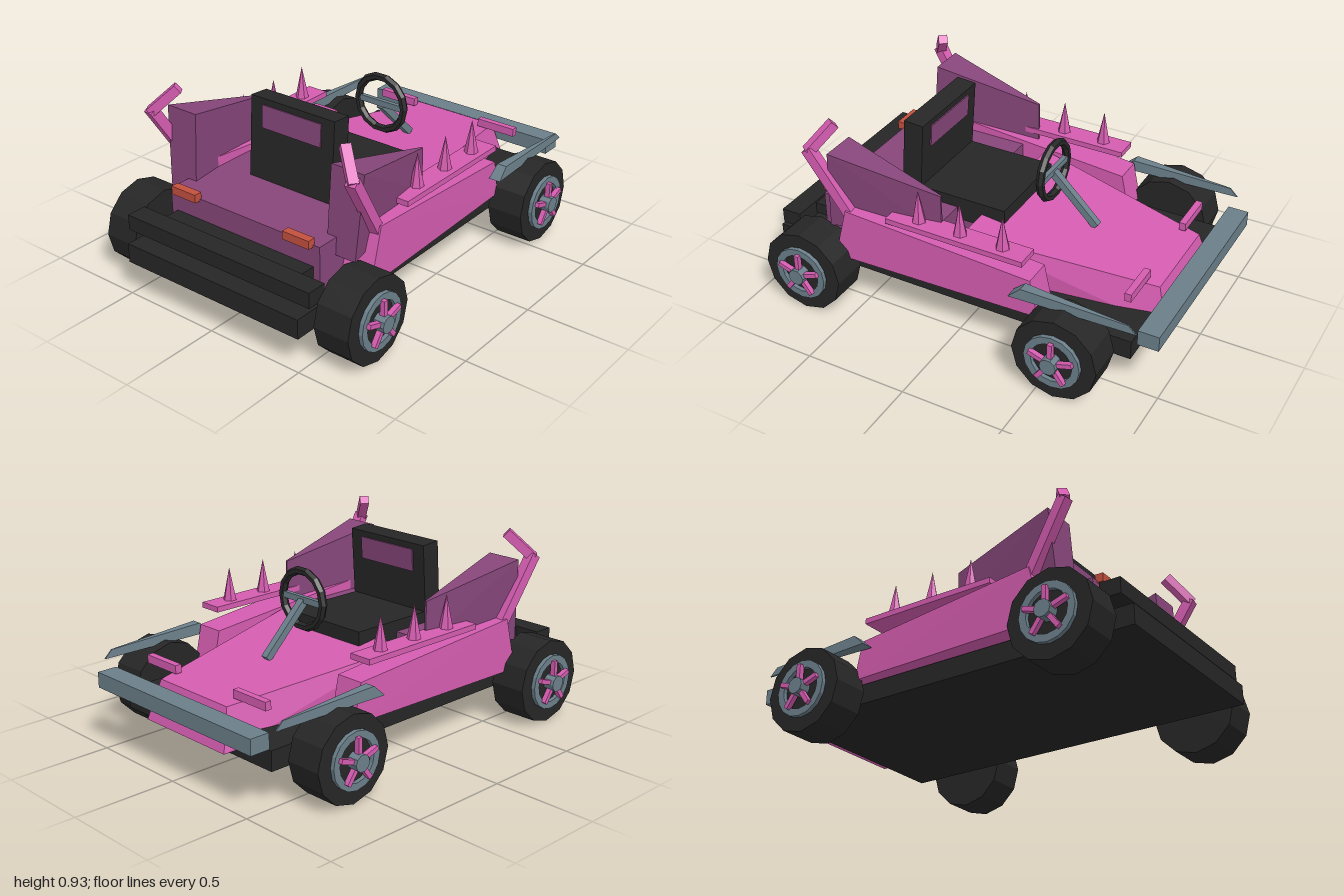
import * as THREE from 'three';
import { ConvexGeometry } from 'three/addons/geometries/ConvexGeometry.js';

const mat = (name, color) => {
  const m = new THREE.MeshStandardMaterial({ color, flatShading: true });
  m.name = name;
  return m;
};

export function createModel() {
  const kart = new THREE.Group();
  kart.name = 'kart';
  const pink = mat('pink paint', 0xd45cb0);
  const purple = mat('purple paint', 0x86467a);
  const black = mat('black rubber', 0x262626);
  const steel = mat('steel grey', 0x6b7f8a);
  const orange = mat('orange light', 0xc2503e);

  const add = (name, geo, material, parent = kart) => {
    const m = new THREE.Mesh(geo, material);
    m.name = name;
    parent.add(m);
    return m;
  };
  // Box given by its lowest and highest corner
  const box = (name, material, [x0, y0, z0], [x1, y1, z1], parent) => {
    const m = add(name, new THREE.BoxGeometry(Math.abs(x1 - x0), y1 - y0, z1 - z0), material, parent);
    m.position.set((x0 + x1) / 2, (y0 + y1) / 2, (z0 + z1) / 2);
    return m;
  };
  // Solid spanned by its corners, s mirrors it in x
  const hull = (name, material, pts, s = 1) =>
    add(name, new ConvexGeometry(pts.map(([x, y, z]) => new THREE.Vector3(x * s, y, z))), material);
  // Square bar between two points
  const bar = (name, material, a, b, w, d = w) => {
    const A = new THREE.Vector3(...a), B = new THREE.Vector3(...b);
    const m = add(name, new THREE.BoxGeometry(w, d, A.distanceTo(B)), material);
    m.position.copy(A).lerp(B, 0.5);
    m.lookAt(B);
    return m;
  };

  // Chassis, bumpers and rear deck
  box('floor', black, [-0.5, 0.165, -0.86], [0.5, 0.26, 1]);
  box('rearBumper', black, [-0.53, 0.305, 0.86], [0.53, 0.38, 0.96]);
  box('bumperMount', black, [-0.4, 0.315, 0.76], [0.4, 0.37, 0.88]);
  box('frontBumper', steel, [-0.535, 0.29, -1], [0.535, 0.365, -0.9]);
  box('rearDeck', purple, [-0.435, 0.26, 0.16], [0.435, 0.475, 0.775]);

  // Tapered hood
  const hood = [];
  for (const s of [-1, 1]) {
    hood.push([0.23 * s, 0.38, -0.87], [0.27 * s, 0.19, -0.925],
      [0.41 * s, 0.475, 0.03], [0.41 * s, 0.26, 0.08]);
  }
  hull('hood', pink, hood);

  // Seat
  box('seatCushion', black, [-0.235, 0.41, -0.09], [0.235, 0.53, 0.37]);
  const seatBack = new THREE.Group();
  seatBack.name = 'seatBack';
  seatBack.position.set(0, 0.665, 0.395);
  seatBack.rotation.x = -0.07;
  kart.add(seatBack);
  box('backrest', black, [-0.24, -0.2, -0.05], [0.24, 0.2, 0.05], seatBack);
  box('backrestPanel', purple, [-0.17, 0.06, -0.056], [0.17, 0.17, 0.056], seatBack);

  // Steering
  const wheel = add('steeringWheel', new THREE.TorusGeometry(0.135, 0.02, 6, 14), black);
  wheel.position.set(0, 0.665, -0.22);
  bar('steeringColumn', steel, [0, 0.655, -0.22], [0, 0.43, -0.45], 0.035);
  box('steeringCrossbar', steel, [-0.125, 0.65, -0.232], [0.125, 0.68, -0.21]);

  for (const s of [-1, 1]) {
    // Side pod
    hull('sidePod', pink, [
      [0.41, 0.45, -0.39], [0.55, 0.45, -0.39], [0.41, 0.265, -0.43], [0.55, 0.265, -0.43],
      [0.41, 0.53, 0.55], [0.585, 0.53, 0.55], [0.41, 0.265, 0.64], [0.585, 0.265, 0.62],
    ], s);

    // Spiked rail
    box('spikeRail', pink, [0.455 * s, 0.525, -0.36], [0.57 * s, 0.552, 0.34]);
    for (const z of [-0.235, -0.02, 0.195]) {
      const spike = add('spike', new THREE.ConeGeometry(0.034, 0.165, 6), pink);
      spike.position.set(0.512 * s, 0.632, z);
    }

    // Rear fin and bent post
    hull('rearFin', purple, [
      [0.465, 0.69, 0.1], [0.475, 0.69, 0.1], [0.465, 0.48, 0.1], [0.475, 0.48, 0.1],
      [0.39, 0.8, 0.64], [0.565, 0.8, 0.64], [0.385, 0.39, 0.67], [0.54, 0.39, 0.67],
    ], s);
    bar('postLower', pink, [0.55 * s, 0.5, 0.54], [0.575 * s, 0.81, 0.735], 0.05);
    bar('postUpper', pink, [0.58 * s, 0.795, 0.735], [0.475 * s, 0.913, 0.655], 0.045);

    // Front blade
    hull('frontBlade', steel, [
      [0.565, 0.395, -0.32], [0.625, 0.395, -0.32], [0.57, 0.45, -0.38], [0.62, 0.45, -0.38],
      [0.592, 0.43, -0.88], [0.598, 0.43, -0.88], [0.592, 0.392, -0.92], [0.598, 0.392, -0.92],
    ], s);

    // Lights
    box('frontLamp', pink, [0.2 * s, 0.395, -0.81], [0.41 * s, 0.435, -0.778]);
    box('tailLight', orange, [0.255 * s, 0.465, 0.765], [0.4 * s, 0.505, 0.805]);

    // Wheels, built along +x
    for (const z of [-0.59, 0.73]) {
      const w = new THREE.Group();
      w.name = z < 0 ? 'frontWheel' : 'rearWheel';
      w.position.set(0, 0.205, z);
      if (s < 0) w.rotation.y = Math.PI;
      kart.add(w);
      const disc = (name, r, x0, x1, n, material) => {
        const m = add(name, new THREE.CylinderGeometry(r, r, x1 - x0, n), material, w);
        m.rotation.z = -Math.PI / 2;
        m.position.x = (x0 + x1) / 2;
      };
      disc('tire', 0.205, 0.53, 0.71, 12, black);
      disc('axle', 0.024, 0.4, 0.54, 8, steel);
      disc('hub', 0.04, 0.7, 0.765, 10, steel);
      const ring = new THREE.Shape().absarc(0, 0, 0.135, 0, Math.PI * 2);
      ring.holes.push(new THREE.Path().absarc(0, 0, 0.1, 0, Math.PI * 2));
      const rim = add('rim', new THREE.ExtrudeGeometry(ring, { depth: 0.025, bevelEnabled: false, curveSegments: 8 }), steel, w);
      rim.rotation.y = Math.PI / 2;
      rim.position.x = 0.705;
      for (let i = 0; i < 5; i++) {
        const a = i * Math.PI * 2 / 5;
        const spoke = add('spoke', new THREE.BoxGeometry(0.025, 0.085, 0.022), pink, w);
        spoke.position.set(0.737, 0.068 * Math.cos(a), 0.068 * Math.sin(a));
        spoke.rotation.x = a;
      }
    }
  }
  return kart;
}
